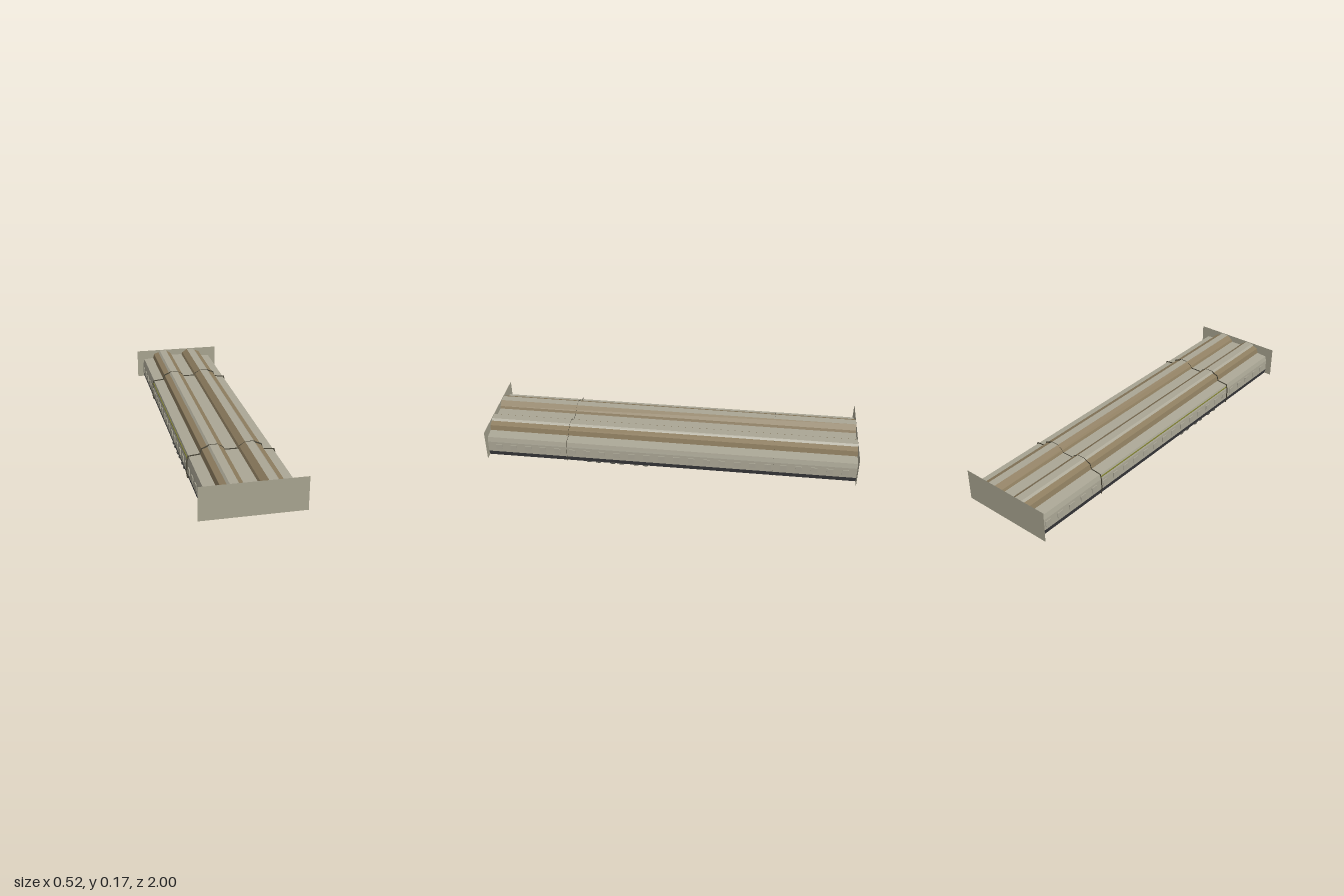
import * as THREE from 'three';

const material = (name, color, side = THREE.FrontSide) => {
  const m = new THREE.MeshStandardMaterial({ color, side });
  m.name = name;
  return m;
};

// Sheet swept along z through an anticlockwise run of [x, y] points
function sweep(points, z0 = -1, z1 = 1) {
  const pos = [];
  for (let i = 0; i + 1 < points.length; i++) {
    const [ax, ay] = points[i], [bx, by] = points[i + 1];
    pos.push(ax, ay, z1, ax, ay, z0, bx, by, z0);
    pos.push(ax, ay, z1, bx, by, z0, bx, by, z1);
  }
  const g = new THREE.BufferGeometry();
  g.setAttribute('position', new THREE.Float32BufferAttribute(pos, 3));
  g.computeVertexNormals();
  return g;
}
const mirror = (points) => points.map(([x, y]) => [-x, y]).reverse();

export function createModel() {
  const model = new THREE.Group();
  const hull = material('hull grey', 0xaaa695);
  const brown = material('rib brown', 0x8c7c5e);
  const base = material('underside black', 0x202021);
  const skirt = material('skirt charcoal', 0x3a3a3d);
  const plate = material('end plate grey', 0xa8a490, THREE.DoubleSide);
  const seam = material('seam dark', 0x4a4638, THREE.DoubleSide);
  const knob = material('knob grey', 0x5c5b53);
  const lamp = material('olive stripe', 0x7f8030);

  const add = (name, geometry, mat, x = 0, y = 0, z = 0, parent = model) => {
    const mesh = new THREE.Mesh(geometry, mat);
    mesh.name = name;
    mesh.position.set(x, y, z);
    parent.add(mesh);
    return mesh;
  };

  // Cross-section of the long hull, right half, from underside to centre groove
  const runs = [
    ['skirt', skirt, [[0.218, 0.003], [0.224, 0.03]]],
    ['sideWall', hull, [[0.224, 0.03], [0.222, 0.09], [0.215, 0.117], [0.157, 0.123]]],
    ['outerRibWall', brown, [[0.157, 0.123], [0.15, 0.15], [0.122, 0.161]]],
    ['ribCrest', hull, [[0.122, 0.161], [0.112, 0.171], [0.07, 0.171]]],
    ['innerRibSlope', brown, [[0.07, 0.171], [0.04, 0.15], [0.034, 0.137]]],
  ];
  for (const [name, mat, pts] of runs) {
    add(name + 'Left', sweep(pts), mat);
    add(name + 'Right', sweep(mirror(pts)), mat);
  }
  add('grooveFloor', sweep([[0.034, 0.137], [-0.034, 0.137]]), hull);
  add('underside', sweep([[-0.218, 0.003], [0.218, 0.003]]), base);

  // Flat end plates
  for (const s of [1, -1]) {
    add('endPlate', new THREE.PlaneGeometry(0.52, 0.172), plate, 0, 0.089, s);
  }

  // Thin seam frames that follow the cross-section
  const half = runs.flatMap(([, , pts]) => pts);
  const outline = [...half, ...mirror(half)];
  const frame = new THREE.Shape(outline.map(([x, y]) =>
    new THREE.Vector2(x * 1.03, y < 0.01 ? 0.001 : Math.min(y + 0.006, 0.174))));
  const frameGeometry = new THREE.ShapeGeometry(frame);
  for (const z of [0.56, -0.56]) add('seamFrame', frameGeometry, seam, 0, 0, z);

  // Rows of small blocks along both sides
  const block = new THREE.BoxGeometry(0.01, 0.03, 0.035);
  const blocks = new THREE.Group();
  blocks.name = 'sideBlocks';
  model.add(blocks);
  for (const s of [1, -1]) {
    for (let i = 0; i < 24; i++) {
      add('sideBlock', block, hull, s * 0.222, 0.062, -0.94 + i * 0.0817, blocks);
    }
  }

  // Olive stripe on the right shoulder
  add('shoulderStripe', new THREE.BoxGeometry(0.004, 0.005, 1.12), lamp, -0.221, 0.105, 0);

  // Clusters of hexagonal knobs below the hull
  const disc = new THREE.CylinderGeometry(0.021, 0.021, 0.006, 6);
  const knobs = new THREE.Group();
  knobs.name = 'undersideKnobs';
  model.add(knobs);
  for (const x of [-0.204, -0.152, -0.048, 0, 0.048, 0.152, 0.204]) {
    for (const zc of [0.155, 0.285, 0.415]) {
      for (const dz of [-0.025, 0.025]) add('knob', disc, knob, x, 0.003, zc + dz, knobs);
    }
  }
  return model;
}
